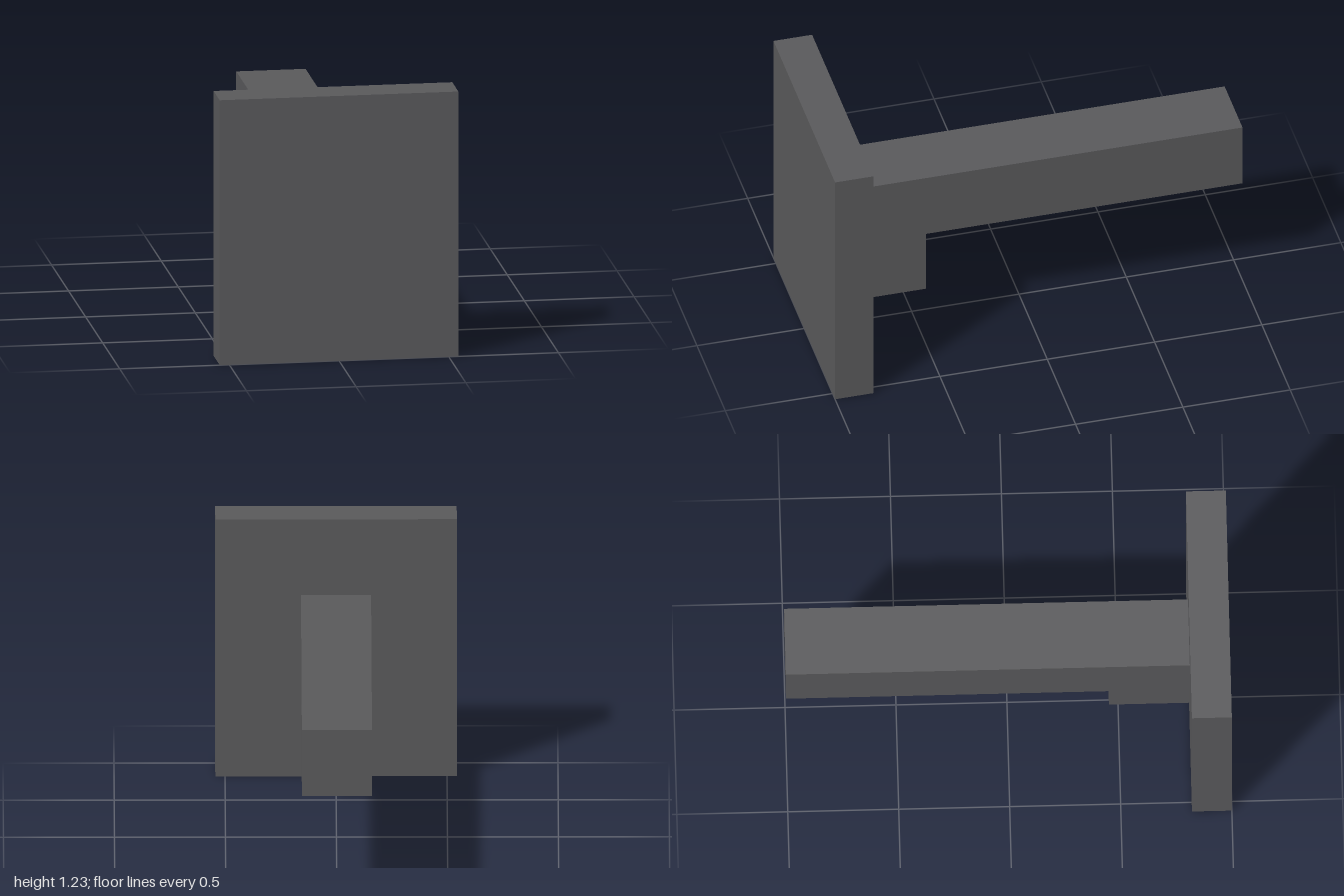
import * as THREE from 'three';

export function createModel() {
  const group = new THREE.Group();
  const darkGrey = new THREE.MeshStandardMaterial({ color: 0x59595b });
  darkGrey.name = 'darkGrey';

  // Box centred on x, spanning the given y and z ranges
  const addBlock = (name, width, [y0, y1], [z0, z1]) => {
    const mesh = new THREE.Mesh(new THREE.BoxGeometry(width, y1 - y0, z1 - z0), darkGrey);
    mesh.name = name;
    mesh.position.set(0, (y0 + y1) / 2, (z0 + z1) / 2);
    group.add(mesh);
  };

  addBlock('frontPlate', 1.088, [0, 1.228], [0.82, 1]);
  addBlock('arm', 0.316, [0.55, 0.866], [-1, 0.82]);
  addBlock('supportBlock', 0.18, [0.186, 0.55], [0.457, 0.82]);

  return group;
}
